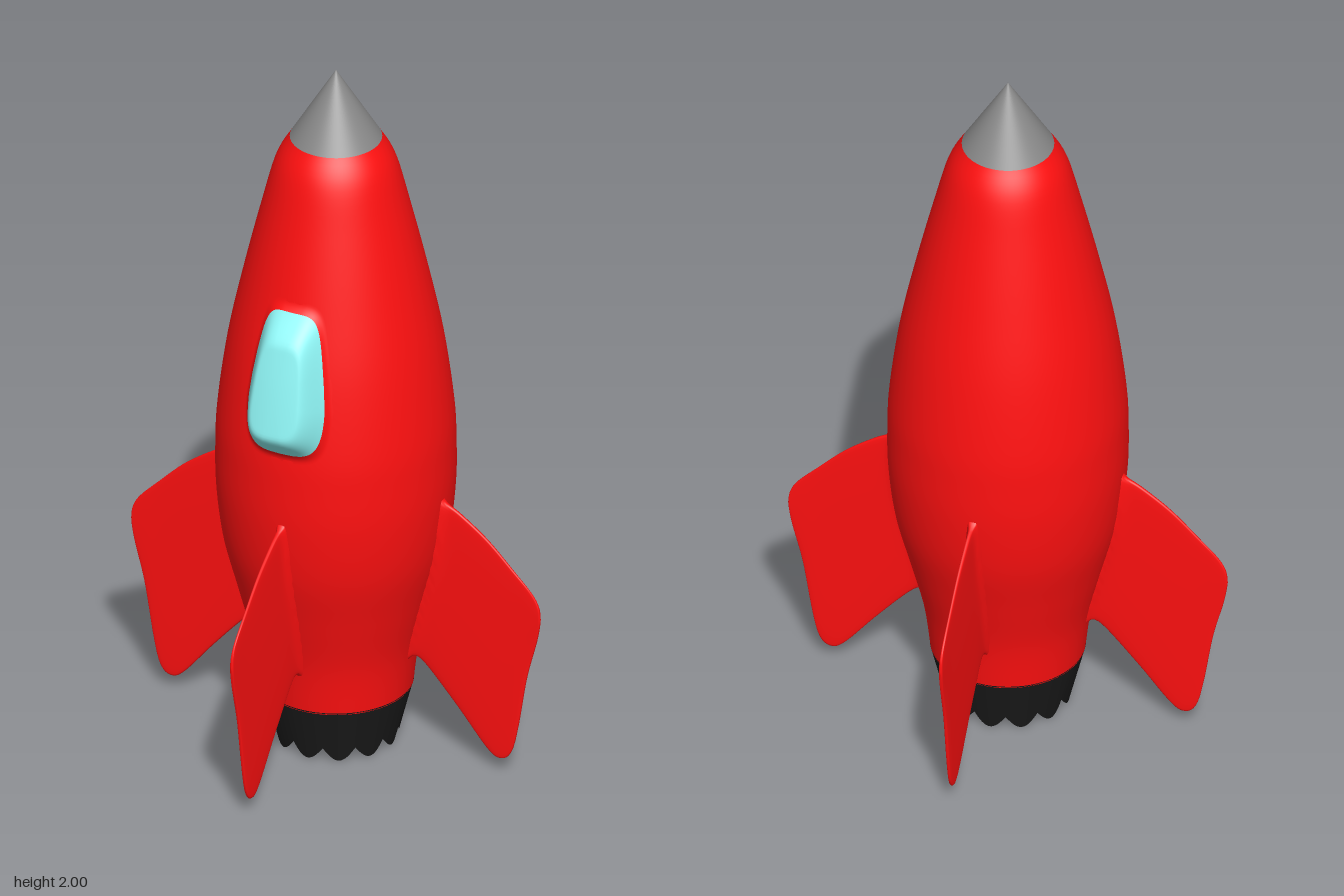
import * as THREE from 'three';
import { mergeVertices } from 'three/addons/utils/BufferGeometryUtils.js';

const mat = (color, side = THREE.FrontSide) => new THREE.MeshStandardMaterial({ color, side });
const red = mat(0xff1010);
const grey = mat(0x888888);
const black = mat(0x1a1a1a, THREE.DoubleSide);
const glass = mat(0x8ff5f5);

// Smooth curve through [key, value] points
const spline = (pts) => new THREE.SplineCurve(pts.map((p) => new THREE.Vector2(...p))).getPoints(300);

// Value of a sampled curve at a key (keys ascend)
function valueAt(samples, key) {
  if (key <= samples[0].x) return samples[0].y;
  for (let i = 1; i < samples.length; i++) {
    const a = samples[i - 1], b = samples[i];
    if (key <= b.x) return a.y + (b.y - a.y) * (key - a.x) / Math.max(b.x - a.x, 1e-6);
  }
  return samples[samples.length - 1].y;
}

// Smooth surface from a point function over a (nu x nv) grid
function surface(nu, nv, point) {
  const pos = [], idx = [];
  for (let i = 0; i <= nu; i++) for (let j = 0; j <= nv; j++) pos.push(...point(i / nu, j / nv));
  for (let i = 0; i < nu; i++) for (let j = 0; j < nv; j++) {
    const a = i * (nv + 1) + j, b = a + nv + 1;
    idx.push(a, b, a + 1, b, b + 1, a + 1);
  }
  let geo = new THREE.BufferGeometry();
  geo.setAttribute('position', new THREE.Float32BufferAttribute(pos, 3));
  geo.setIndex(idx);
  geo = mergeVertices(geo, 1e-5);
  geo.computeVertexNormals();
  return geo;
}

function addMesh(parent, name, geo, material) {
  const mesh = new THREE.Mesh(geo, material);
  mesh.name = name;
  parent.add(mesh);
  return mesh;
}

// Hull radius by height
const hull = spline([[0.16, 0.205], [0.3, 0.223], [0.45, 0.26], [0.6, 0.298], [0.75, 0.316], [0.88, 0.318],
  [1.0, 0.312], [1.2, 0.285], [1.4, 0.243], [1.6, 0.195], [1.73, 0.16], [1.8, 0.122]]);
const radiusAt = (y) => valueAt(hull, y);

// Fin edges: height by distance from the axis
const finTop = spline([[0.19, 0.8], [0.3, 0.79], [0.325, 0.772], [0.37, 0.748], [0.45, 0.69], [0.53, 0.612],
  [0.58, 0.56], [0.6, 0.525], [0.606, 0.49]]);
const finBottom = spline([[0.19, 0.2], [0.212, 0.262], [0.235, 0.287], [0.27, 0.268], [0.36, 0.168], [0.45, 0.06],
  [0.49, 0.04], [0.52, 0.068], [0.54, 0.15], [0.565, 0.3], [0.595, 0.42], [0.606, 0.485]]);

function finGeometry() {
  return surface(64, 64, (u, v) => {
    const x = 0.19 + 0.416 * Math.sin(u * Math.PI / 2);
    const a = v * Math.PI * 2;
    const top = valueAt(finTop, x), bottom = valueAt(finBottom, x);
    const y = (top + bottom) / 2 + Math.cos(a) * (top - bottom) / 2;
    // Thin blade with a flare where it meets the hull
    const gap = Math.max(0, x - radiusAt(y));
    const half = 0.011 - 0.006 * Math.max(0, (x - 0.3) / 0.306) + 0.014 * Math.exp(-gap / 0.01);
    const s = Math.sin(a);
    const z = -Math.sign(s) * Math.pow(Math.abs(s), 0.4) * half * Math.min(1, (1 - u) * 12);
    return [x, y, z];
  });
}

// Ring-shaped piece of the cockpit bulge, from scale t0 to t1 of its outline
function bulge(t0, t1, rings) {
  const soft = (n) => Math.sign(n) * Math.pow(Math.abs(n), 0.45);
  return surface(rings, 96, (u, v) => {
    const t = t0 + (t1 - t0) * u, a = v * Math.PI * 2;
    const y = 1.195 + 0.195 * t * soft(Math.sin(a));
    const width = 0.113 - 0.03 * THREE.MathUtils.smoothstep(y, 1.1, 1.4);
    const x = width * t * soft(Math.cos(a));
    const height = THREE.MathUtils.mapLinear(y, 1.07, 1.33, 0.08, 0.058);
    const lift = height * (1 - THREE.MathUtils.smoothstep(t, 0.6, 1.13));
    return [x, y, Math.sqrt(radiusAt(y) ** 2 - x * x) + lift];
  });
}

export function createModel() {
  const rocket = new THREE.Group();
  rocket.name = 'rocket';

  // Hull and nose
  const profile = hull.filter((p, i) => i % 5 === 0).map((p) => new THREE.Vector2(p.y, p.x));
  addMesh(rocket, 'hull', new THREE.LatheGeometry(profile, 96), red);
  const nose = addMesh(rocket, 'noseCone', new THREE.ConeGeometry(0.122, 0.2, 96, 1, true), grey);
  nose.position.y = 1.9;

  // Cockpit window with its red surround
  addMesh(rocket, 'cockpitWindow', bulge(0, 1, 24), glass);
  addMesh(rocket, 'windowSurround', bulge(1, 1.15, 5), red);

  // Four fins
  const fin = finGeometry();
  ['leftFin', 'backFin', 'rightFin', 'frontFin'].forEach((name, i) => {
    addMesh(rocket, name, fin, red).rotation.y = i * Math.PI / 2;
  });

  // Hollow nozzle with twelve rounded lobes along the rim
  const nozzle = new THREE.CylinderGeometry(0.206, 0.166, 0.165, 192, 1, true);
  nozzle.translate(0, 0.0825, 0);
  const p = nozzle.attributes.position;
  for (let i = 0; i < p.count; i++) {
    if (p.getY(i) > 0.1) continue;
    const angle = Math.atan2(p.getX(i), p.getZ(i));
    p.setY(i, 0.035 * (1 - Math.abs(Math.cos(angle * 6))));
  }
  addMesh(rocket, 'nozzle', nozzle, black);
  const plate = addMesh(rocket, 'nozzlePlate', new THREE.CircleGeometry(0.204, 64), black);
  plate.rotation.x = Math.PI / 2;
  plate.position.y = 0.158;

  return rocket;
}
